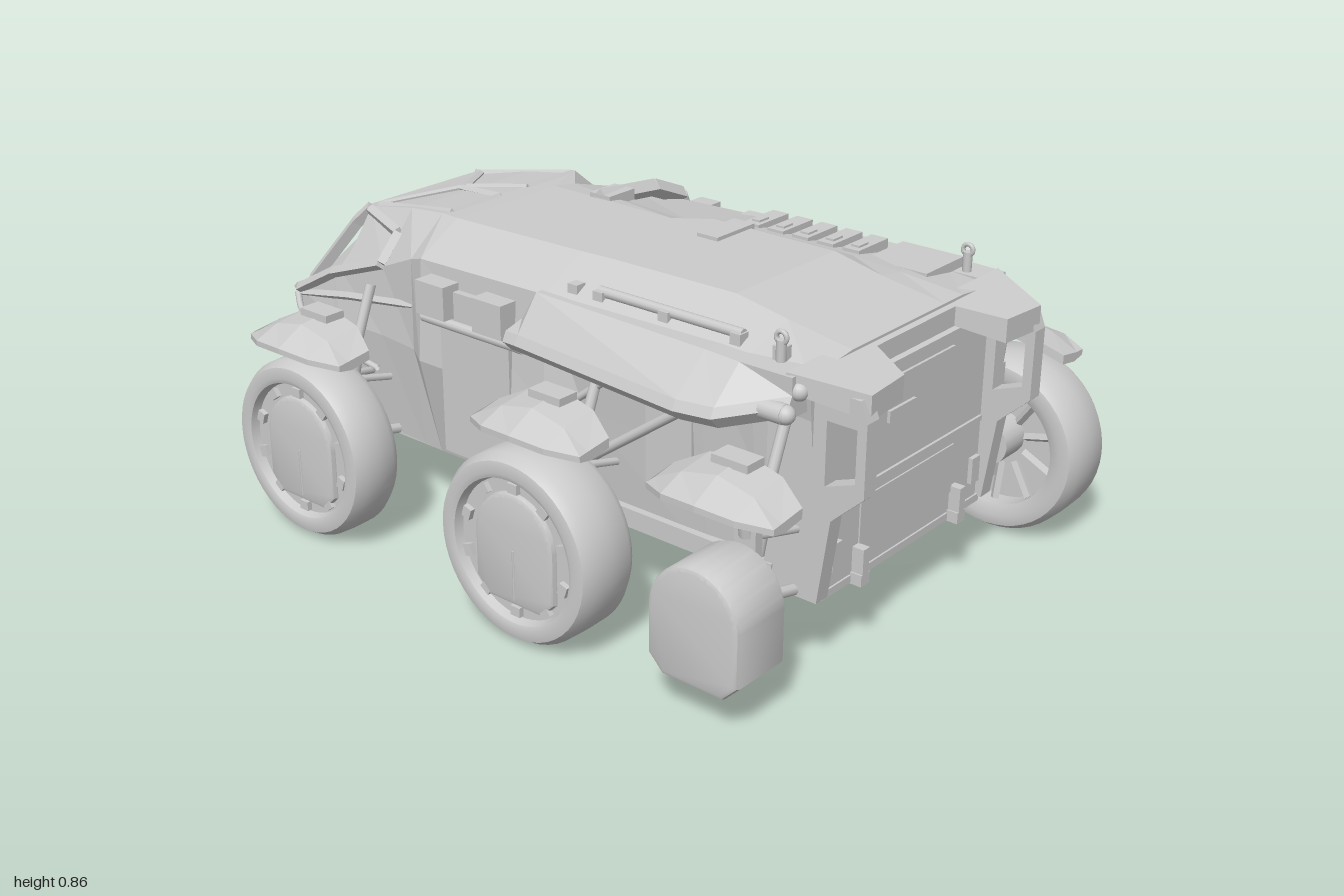
import * as THREE from 'three';
import { toCreasedNormals } from 'three/addons/utils/BufferGeometryUtils.js';

const flat = new THREE.MeshStandardMaterial({ color: 0xcccccc, flatShading: true, side: THREE.DoubleSide });
const smooth = new THREE.MeshStandardMaterial({ color: 0xcccccc, side: THREE.DoubleSide });
const V = (x, y, z) => new THREE.Vector3(x, y, z);
const SIDES = [1, -1];

export function createModel() {
  const root = new THREE.Group();
  root.name = 'sixWheeledRover';
  const add = (name, geo, mat = flat, parent = root) => {
    const m = new THREE.Mesh(geo, mat);
    m.name = name;
    parent.add(m);
    return m;
  };
  const box = (name, x, y, z, w, h, d, parent) => {
    const m = add(name, new THREE.BoxGeometry(w, h, d), flat, parent);
    m.position.set(x, y, z);
    return m;
  };
  // round or square bar between two points
  const bar = (name, a, b, r, sides = 10, parent) => {
    const m = add(name, new THREE.CylinderGeometry(r, r, a.distanceTo(b), sides), sides > 4 ? smooth : flat, parent);
    m.position.copy(a).add(b).multiplyScalar(0.5);
    m.quaternion.setFromUnitVectors(V(0, 1, 0), b.clone().sub(a).normalize());
    return m;
  };
  const frame = (name, pts, r) => pts.slice(1).forEach((p, i) => bar(name, pts[i], p, r, 4));
  const pipe = (name, pts, r) =>
    add(name, new THREE.TubeGeometry(new THREE.CatmullRomCurve3(pts, false, 'catmullrom', 0.3), 32, r, 8), smooth);
  // skin cross-sections [z, [[x, y], ...]], counter-clockwise, in rising z
  const loft = (sections, s = 1) => {
    const rings = sections.map(([z, pts]) => {
      const ring = pts.map(([x, y]) => V(x * s, y, z));
      return s < 0 ? ring.reverse() : ring;
    });
    const n = rings[0].length, tri = [];
    for (let i = 0; i < rings.length - 1; i++)
      for (let j = 0; j < n; j++) {
        const k = (j + 1) % n, a = rings[i][j], b = rings[i][k], c = rings[i + 1][k], d = rings[i + 1][j];
        tri.push(a, b, c, a, c, d);
      }
    const first = rings[0], last = rings[rings.length - 1];
    for (let j = 1; j < n - 1; j++) tri.push(first[0], first[j + 1], first[j], last[0], last[j], last[j + 1]);
    const g = new THREE.BufferGeometry().setFromPoints(tri);
    g.computeVertexNormals();
    return g;
  };

  // main hull: z, belly, waist, shoulder, right roof edge, left roof edge, step down beside it
  const hull = [
    [-0.985, 0.26, 0.42, 0.33, 0.46, 0.33, 0.515, 0.27, 0.515, 0.27, 0],
    [-0.82, 0.32, 0.2, 0.345, 0.47, 0.33, 0.59, 0.22, 0.685, 0.22, 0],
    [-0.79, 0.33, 0.2, 0.35, 0.47, 0.33, 0.605, 0.21, 0.765, 0.21, 0],
    [-0.6, 0.345, 0.2, 0.365, 0.48, 0.35, 0.67, 0.235, 0.805, 0.235, 0],
    [-0.46, 0.355, 0.2, 0.38, 0.48, 0.375, 0.73, 0.255, 0.825, 0.23, 0],
    [-0.39, 0.36, 0.2, 0.425, 0.48, 0.405, 0.755, 0.27, 0.83, 0.1, 0.012],
    [0.05, 0.36, 0.2, 0.425, 0.48, 0.41, 0.765, 0.28, 0.842, 0.06, 0.03],
    [0.15, 0.36, 0.2, 0.385, 0.48, 0.41, 0.768, 0.28, 0.845, 0.12, 0.033],
    [0.52, 0.36, 0.2, 0.38, 0.48, 0.40, 0.77, 0.27, 0.843, 0.12, 0.033],
    [0.66, 0.35, 0.2, 0.37, 0.48, 0.40, 0.768, 0.26, 0.812, 0.12, 0.012],
    [0.825, 0.34, 0.2, 0.35, 0.48, 0.40, 0.755, 0.24, 0.775, 0.14, 0.0],
  ];
  add('hull', loft(hull.map(([z, bx, by, wx, wy, sx, sy, rx, ry, lx, step]) => [z, [
    [-bx, by], [bx, by], [wx, wy], [sx, sy], [Math.min(lx + 0.08, rx), ry - step], [lx * 0.999, ry], [-rx, ry], [-sx, sy], [-wx, wy]]])));

  // notched rear roof overhang, its top falling towards the tips
  const lip = new THREE.Shape([[-0.44, 0.79], [-0.36, 0.96], [-0.22, 0.95], [-0.165, 0.84], [0.165, 0.84], [0.22, 0.95],
    [0.36, 0.96], [0.44, 0.79]].map(([x, z]) => new THREE.Vector2(x, z)));
  const lipGeo = new THREE.ExtrudeGeometry(lip, { depth: 0.08, bevelEnabled: false }).rotateX(Math.PI / 2);
  const lp = lipGeo.attributes.position;
  for (let i = 0; i < lp.count; i++) {
    const z = lp.getZ(i), top = lp.getY(i) > -0.04;
    lp.setY(i, top ? 0.775 - (z - 0.79) * 0.2 : 0.73 - (z - 0.79) * 0.3);
  }
  add('rearRoofLip', lipGeo);

  // rear door with raised panels and fittings
  add('rearDoor', loft([[0.815, [[-0.335, 0.2], [0.335, 0.2], [0.335, 0.71], [-0.335, 0.71]]],
    [0.838, [[-0.325, 0.21], [0.325, 0.21], [0.325, 0.7], [-0.325, 0.7]]]]));
  box('rearDoorUpperPanel', 0, 0.58, 0.838, 0.34, 0.17, 0.014);
  box('rearDoorLatch', -0.16, 0.585, 0.848, 0.05, 0.08, 0.01);
  box('rearDoorHandle', -0.06, 0.575, 0.848, 0.11, 0.03, 0.01);
  box('rearDoorSill', 0, 0.425, 0.838, 0.64, 0.014, 0.014);
  box('rearDoorLowerPanel', 0, 0.33, 0.836, 0.4, 0.13, 0.012);
  box('bellyPlate', 0, 0.197, 0.01, 0.68, 0.02, 1.66);

  const pillar = new THREE.Shape([[0.7, 0.2], [0.85, 0.2], [0.88, 0.42], [0.965, 0.5], [0.965, 0.68], [0.945, 0.73], [0.7, 0.74]]
    .map(([z, y]) => new THREE.Vector2(-z, y)));
  pillar.holes.push(new THREE.Path([[0.86, 0.5], [0.94, 0.53], [0.94, 0.66], [0.86, 0.66]].map(([z, y]) => new THREE.Vector2(-z, y))));

  for (const s of SIDES) {
    const P = (x, y, z) => V(x * s, y, z);
    const pl = add('rearPillar', new THREE.ExtrudeGeometry(pillar, { depth: 0.045, bevelEnabled: false }).rotateY(Math.PI / 2));
    pl.position.x = s > 0 ? 0.335 : -0.38;
    // upper side armour
    const skirt = (z, x, y, tx, top) => [z, [[0.36, y - 0.02], [x - 0.03, y - 0.02], [x, y + 0.01], [x - 0.012, y + 0.035], [tx, top], [0.36, top]]];
    add('sideArmour', loft([skirt(-0.02, 0.49, 0.64, 0.42, 0.69), skirt(0.03, 0.5, 0.645, 0.42, 0.77), skirt(0.57, 0.56, 0.65, 0.445, 0.772),
      skirt(0.67, 0.55, 0.655, 0.45, 0.77), skirt(0.81, 0.455, 0.69, 0.445, 0.768)], s));
    // side framing under the armour
    bar('diagonalStrut', P(0.41, 0.63, 0.54), P(0.4, 0.24, 0.0), 0.013);
    bar('diagonalStrut', P(0.41, 0.64, 0.3), P(0.41, 0.42, 0.02), 0.01);
    box('sideRail', 0.37 * s, 0.235, 0.35, 0.03, 0.05, 0.75);
    box('sidePanel', 0.38 * s, 0.46, 0.42, 0.02, 0.24, 0.14);
    // tail lamps, masts, hooks
    for (const [x, y] of [[0.42, 0.73], [0.468, 0.69]]) {
      bar('tailLampHousing', P(x, y, 0.75), P(x, y, 0.81), 0.024, 16);
      add('tailLamp', new THREE.SphereGeometry(0.023, 16, 10), smooth).position.set(x * s, y, 0.812);
    }
    bar('mast', P(0.385, 0.75, 0.735), P(0.385, 0.82, 0.735), 0.012);
    add('mastRing', new THREE.TorusGeometry(0.014, 0.006, 8, 16).rotateY(Math.PI / 2), smooth).position.set(0.385 * s, 0.825, 0.735);
    box('towHook', 0.21 * s, 0.235, 0.85, 0.025, 0.09, 0.04);
    box('towPin', 0.21 * s, 0.2, 0.84, 0.035, 0.03, 0.06);
    box('rearMarker', 0.3 * s, 0.29, 0.842, 0.035, 0.07, 0.016);
    box('footPad', 0.36 * s, 0.19, 0.72, 0.07, 0.015, 0.06);

    // cab frames: windscreen pillar, side window, roof panes
    frame('windscreenPillar', [P(0.275, 0.525, -0.98), P(0.225, 0.715, -0.835), P(0.21, 0.76, -0.79)], 0.02);
    frame('sideWindowFrame', [P(0.33, 0.515, -0.975), P(0.335, 0.6, -0.82), P(0.355, 0.68, -0.6), P(0.29, 0.75, -0.6), P(0.215, 0.755, -0.79)], 0.016);
    frame('cabBelt', [P(0.325, 0.5, -0.98), P(0.345, 0.55, -0.75), P(0.37, 0.6, -0.46)], 0.012);
    frame('roofWindowFrame', [P(0.01, 0.797, -0.64), P(0.195, 0.768, -0.77), P(0.23, 0.822, -0.45), P(0.055, 0.823, -0.45), P(0.01, 0.797, -0.64)], 0.012);

    // bumper cage
    pipe('sideCageBar', [P(0.33, 0.5, -0.985), P(0.37, 0.47, -0.92), P(0.385, 0.42, -0.78), P(0.37, 0.38, -0.62)], 0.009);
    pipe('bumperUpright', [P(0.2, 0.42, -0.96), P(0.21, 0.36, -0.985), P(0.21, 0.27, -0.93), P(0.2, 0.2, -0.82)], 0.01);
    bar('headlamp', P(0.27, 0.31, -0.86), P(0.27, 0.31, -0.94), 0.035, 16);
  }
  pipe('bumperUpperBar', [V(-0.35, 0.4, -0.86), V(-0.3, 0.37, -0.95), V(0, 0.37, -0.985), V(0.3, 0.37, -0.95), V(0.35, 0.4, -0.86)], 0.012);
  pipe('bumperLowerBar', [V(-0.34, 0.28, -0.84), V(-0.25, 0.26, -0.91), V(0, 0.26, -0.93), V(0.25, 0.26, -0.91), V(0.34, 0.28, -0.84)], 0.012);
  bar('windscreenTop', V(-0.21, 0.755, -0.79), V(0.21, 0.755, -0.79), 0.017, 4);
  bar('windscreenSill', V(-0.33, 0.515, -0.985), V(0.33, 0.515, -0.985), 0.016, 4);

  // wheels and hubs; w is half the tyre width
  const tyre = (w) => [[0, -0.02], [0.17, -0.02], [0.17, 0.012 - w], [0.2, -w], [0.228, 0.006 - w], [0.243, 0.03 - w], [0.245, 0],
    [0.243, w - 0.03], [0.228, w - 0.006], [0.2, w], [0.187, w - 0.005], [0.18, w - 0.028], [0, w - 0.028]].map(([r, y]) => new THREE.Vector2(r, y));
  const hubShape = new THREE.Shape();
  hubShape.moveTo(-0.115, -0.1).lineTo(-0.08, -0.135).lineTo(0.08, -0.135).lineTo(0.115, -0.1).lineTo(0.115, 0.02);
  hubShape.absarc(0, 0.02, 0.115, 0, Math.PI, false);
  const hubGeo = (depth) => toCreasedNormals(new THREE.ExtrudeGeometry(hubShape,
    { depth, bevelSize: 0.012, bevelThickness: 0.012, bevelSegments: 2, curveSegments: 20 }).rotateY(Math.PI / 2), 0.6);

  const corner = (s, z, x, hasTyre, w = 0.092) => {
    const g = new THREE.Group();
    g.name = 'wheelStation';
    g.position.set(x * s, 0.245, z);
    root.add(g);
    const P = (px, y, pz) => V((px - x) * s, y - 0.245, pz);
    if (hasTyre) {
      add('tyre', toCreasedNormals(new THREE.LatheGeometry(tyre(w), 48).rotateZ(-s * Math.PI / 2), 0.6), smooth, g);
      add('hubCover', hubGeo(0.01), smooth, g).position.x = s > 0 ? w - 0.035 : 0.025 - w;
      for (let i = 0; i < 10; i++) {
        const a = i * Math.PI / 5;
        box('rimClip', (w - 0.024) * s, Math.cos(a) * 0.162, Math.sin(a) * 0.162, 0.02, 0.025, 0.03, g).rotation.x = a;
        bar('rimSpoke', V(-0.025 * s, Math.cos(a) * 0.07, Math.sin(a) * 0.07), V(-0.045 * s, Math.cos(a) * 0.17, Math.sin(a) * 0.17), 0.012, 4, g);
      }
    } else add('hubDrum', hubGeo(0.15), smooth, g).position.x = -0.075;
    bar('hubSeam', V((w - 0.014) * s, 0, 0), V((w - 0.014) * s, -0.13, 0), 0.004, 6, g);
    // knuckle, arms and damper
    bar('axle', P(0.515, 0.26, 0), P(x, 0.26, 0), 0.06, 16, g);
    box('knuckle', (0.515 - x) * s, 0.09, 0, 0.025, 0.32, 0.06, g);
    for (const dz of [-0.035, 0.035]) {
      bar('lowerArm', P(0.51, 0.24, dz * 0.5), P(0.35, 0.21, dz), 0.014, 8, g);
      bar('upperArm', P(0.51, 0.4, dz * 0.5), P(0.37, 0.37, dz), 0.01, 8, g);
    }
    bar('damper', P(0.49, 0.34, 0), P(0.45, 0.48, 0), 0.022, 12, g);
    bar('damperRod', P(0.45, 0.48, 0), P(0.39, 0.63, 0), 0.014, 10, g);
    bar('fenderPost', P(0.52, 0.4, 0), P(0.55, 0.57, 0), 0.018, 10, g);
    // fender
    const f = (fz, xi, xo, drop) => [fz, [[xi, 0.575 - drop], [0.62, 0.565 - drop], [xo, 0.53 - drop * 0.3], [xo, 0.545 - drop * 0.3], [0.63, 0.588 - drop], [xi, 0.6 - drop]]
      .map(([px, y]) => [px - x, y - 0.245])];
    add('fender', loft([f(-0.175, 0.56, 0.66, 0.06), f(-0.1, 0.53, 0.7, 0.022), f(0, 0.525, 0.71, 0), f(0.1, 0.53, 0.7, 0.022), f(0.175, 0.56, 0.66, 0.06)], s), flat, g);
    box('fenderBracket', (0.56 - x) * s, 0.355, 0, 0.06, 0.02, 0.1, g);
  };
  corner(1, -0.605, 0.603, true, 0.077);
  corner(-1, -0.605, 0.603, true, 0.077);
  corner(1, 0.21, 0.625, false);
  corner(-1, 0.21, 0.627, true);
  corner(1, 0.755, 0.627, true);
  corner(-1, 0.755, 0.625, false);

  // folding crane and tool arms on the left flank
  frame('craneBoom', [V(0.08, 0.838, -0.21), V(0.3, 0.815, -0.21), V(0.42, 0.765, -0.21), V(0.45, 0.7, -0.21)], 0.025);
  box('craneBase', 0.13, 0.832, -0.21, 0.1, 0.03, 0.07);
  box('craneColumn', 0.45, 0.46, -0.205, 0.04, 0.52, 0.045);
  box('craneFoot', 0.46, 0.28, -0.205, 0.09, 0.13, 0.11);
  box('craneHead', 0.495, 0.69, -0.21, 0.12, 0.06, 0.07);
  for (const z of [-0.34, -0.095]) {
    bar('toolArm', V(0.5, 0.2, z), V(0.5, 0.46, z), 0.02, 10);
    bar('toolArmRod', V(0.5, 0.44, z), V(0.515, 0.64, z), 0.013, 8);
    box('toolArmMount', 0.46, 0.32, z, 0.08, 0.06, 0.05);
    for (const y of [0.24, 0.34, 0.45])
      bar('toolArmJoint', V(0.475, y, z), V(0.535, y, z), 0.026, 12);
  }
  // equipment on the right flank
  for (const z of [-0.3, -0.1]) box('flankBox', -0.435, 0.68, z, 0.06, 0.09, 0.1);
  bar('flankPipe', V(-0.44, 0.62, -0.35), V(-0.44, 0.62, 0), 0.014);
  box('flankDoor', -0.42, 0.48, -0.18, 0.02, 0.45, 0.24);

  // roof fittings
  for (let i = 0; i < 5; i++) {
    const z = 0.18 + i * 0.078;
    box('roofCanister', 0.295, 0.79, z, 0.13, 0.045, 0.05);
    box('canisterLatch', 0.27, 0.812, z, 0.04, 0.012, 0.025);
  }
  box('roofPod', 0.325, 0.775, 0.62, 0.17, 0.04, 0.18);
  box('roofHatch', 0.06, 0.845, 0.23, 0.15, 0.018, 0.065);
  bar('roofRail', V(-0.37, 0.798, 0.19), V(-0.37, 0.798, 0.62), 0.013);
  for (const z of [0.12, 0.2, 0.4, 0.61, 0.73]) box('roofRailFoot', -0.375, 0.785, z, 0.03, 0.035, 0.03);
  return root;
}
